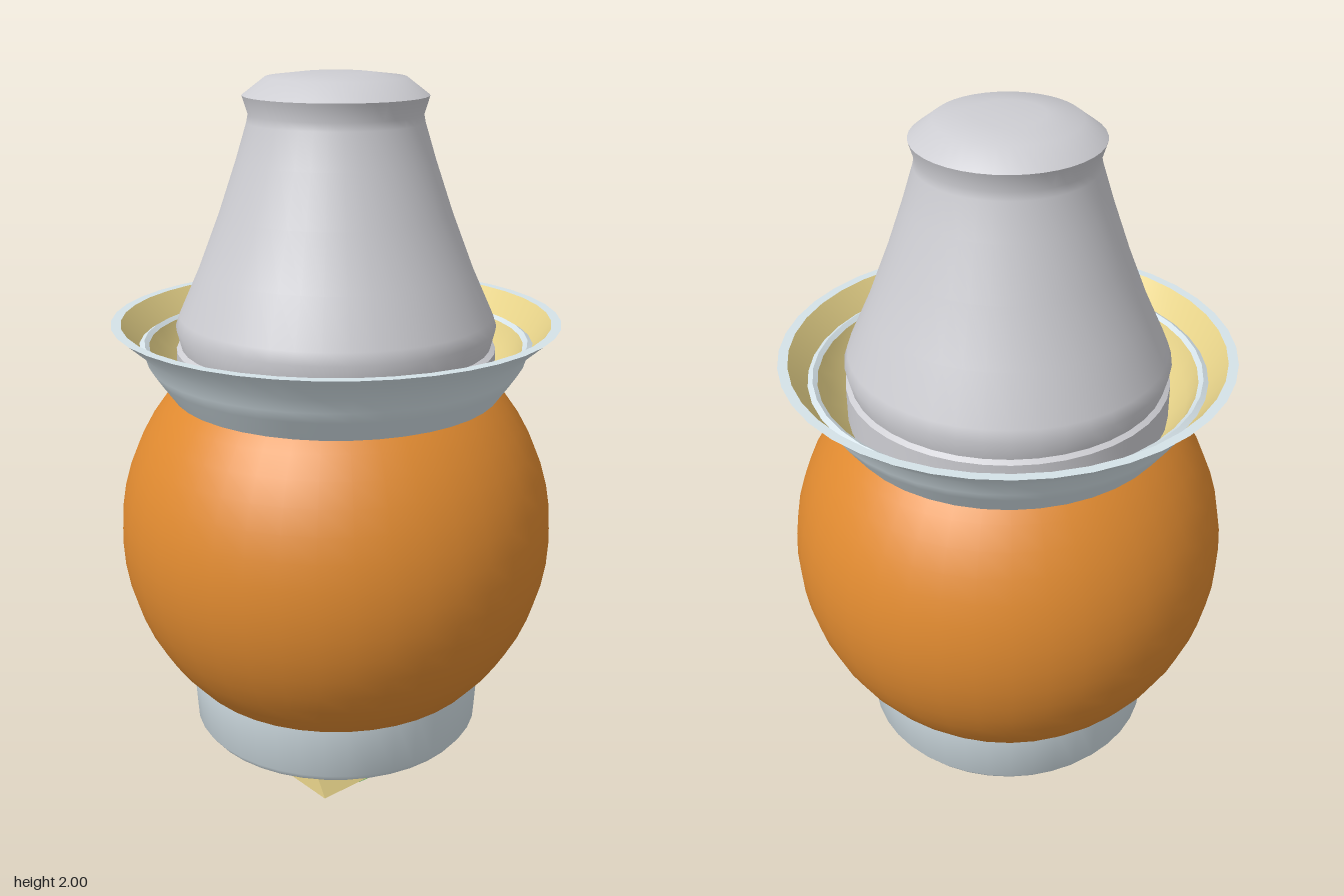
import * as THREE from 'three';
import { toCreasedNormals } from 'three/addons/utils/BufferGeometryUtils.js';

const material = (color) => new THREE.MeshStandardMaterial({ color, side: THREE.DoubleSide });

export function createModel() {
  const model = new THREE.Group();
  const pale = material(0xd5e2e8);
  const capGrey = material(0xcdcdd2);
  const orange = material(0xe08a30);
  const yellow = material(0xe8d48a);
  const green = material(0x62b062);

  const add = (name, geometry, mat) => {
    const mesh = new THREE.Mesh(toCreasedNormals(geometry, 0.6), mat);
    mesh.name = name;
    model.add(mesh);
    return mesh;
  };
  // Turned part from [radius, height] pairs
  const turned = (name, points, mat) =>
    add(name, new THREE.LatheGeometry(points.map(([r, y]) => new THREE.Vector2(r, y)), 40), mat);

  // Base cup
  turned('base', [[0, 0.23], [0.38, 0.23], [0.395, 0.25], [0.405, 0.41], [0, 0.41]], pale);

  // Round body
  const body = add('body', new THREE.SphereGeometry(0.58, 40, 28), orange);
  body.position.y = 0.805;

  // Flared collar: outside, upper rim, inner lip and yellow linings
  turned('collarOutside', [[0.42, 1.18], [0.47, 1.25], [0.49, 1.28], [0.5, 1.315], [0.58, 1.385]], pale);
  turned('collarRim', [[0.58, 1.385], [0.555, 1.385]], pale);
  turned('upperLining', [[0.555, 1.385], [0.51, 1.325]], yellow);
  turned('innerLip', [[0.51, 1.325], [0.497, 1.333], [0.485, 1.325]], pale);
  turned('lowerLining', [[0.485, 1.325], [0.46, 1.27], [0.41, 1.21]], yellow);

  // Neck band and tapering cap
  turned('neckBand', [[0.415, 1.2], [0.415, 1.31], [0.39, 1.325]], capGrey);
  turned('cap', [[0.4, 1.31], [0.415, 1.37], [0.405, 1.4], [0.35, 1.52], [0.295, 1.66], [0.25, 1.79],
    [0.222, 1.88], [0.218, 1.9], [0.232, 1.945], [0.175, 1.988], [0.09, 1.998], [0, 2]], capGrey);

  // Round plate under the base, with a yellow inlay on its front
  const facingFront = (mesh, y, z) => {
    mesh.rotation.x = Math.PI / 2;
    mesh.position.set(0, y, z);
    return mesh;
  };
  facingFront(add('plate', new THREE.CylinderGeometry(0.21, 0.21, 0.024, 40), green), 0.21, 0.003);
  facingFront(add('plateInlay', new THREE.CylinderGeometry(0.18, 0.18, 0.004, 40), yellow), 0.21, 0.016);

  // Triangular prism on the front of the plate
  const triangle = new THREE.Shape([[-0.2, 0.11], [0.2, 0.11], [0, 0.456]].map(([x, y]) => new THREE.Vector2(x, y)));
  const prism = add('prism', new THREE.ExtrudeGeometry(triangle, { depth: 0.195, bevelEnabled: false }), yellow);
  prism.position.z = 0.015;

  // Rounded knob on the back of the plate
  const knobProfile = [[0, 0], [0.06, 0], [0.08, 0.008], [0.092, 0.028], [0.092, 0.09]]
    .map(([r, y]) => new THREE.Vector2(r, y));
  facingFront(add('knob', new THREE.LatheGeometry(knobProfile, 28), pale), 0.215, -0.1);

  return model;
}
